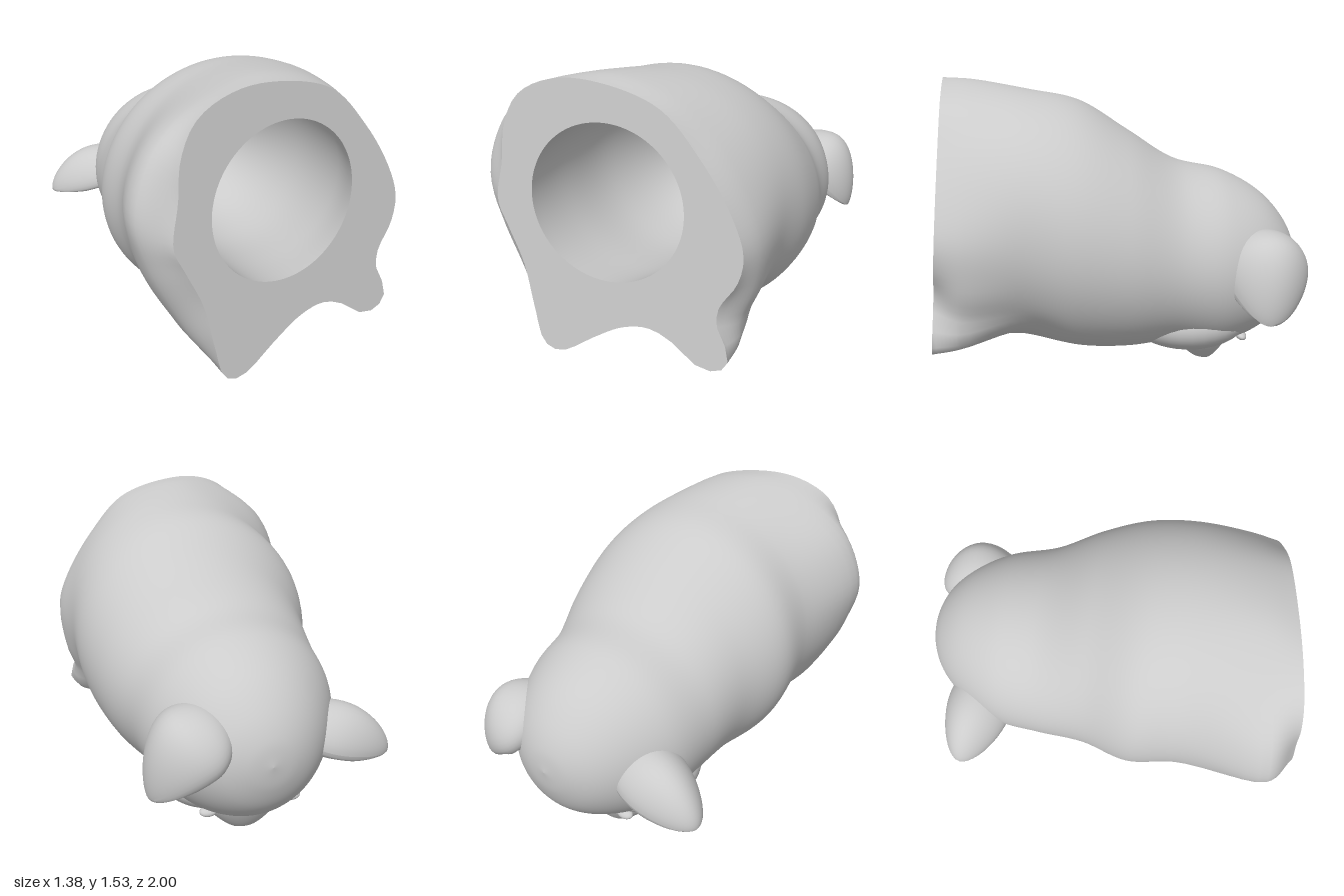
import * as THREE from 'three';

const SIDES = 96;
const V2 = (p) => new THREE.Vector2(p[0], p[1]);
// Tilted plane of the flat end
const planeZ = (x, y) => 0.97 - 0.13 * x - 0.08 * y;

// Outline of the flat end: hollow with two short legs below
const FACE = [[-0.1, 1.53], [-0.3, 1.5], [-0.43, 1.42], [-0.5, 1.28], [-0.52, 1.1], [-0.55, 0.9], [-0.5, 0.78],
  [-0.42, 0.6], [-0.37, 0.38], [-0.32, 0.2], [-0.25, 0.17], [-0.19, 0.19], [-0.05, 0.29], [0.1, 0.38], [0.23, 0.405],
  [0.35, 0.36], [0.45, 0.28], [0.53, 0.26], [0.61, 0.3], [0.61, 0.38], [0.56, 0.48], [0.56, 0.58], [0.64, 0.72],
  [0.66, 0.85], [0.6, 1.02], [0.45, 1.25], [0.25, 1.45]];
// Outline of the fuller rump just behind it
const RUMP = [[-0.05, 1.53], [-0.3, 1.48], [-0.5, 1.37], [-0.62, 1.23], [-0.69, 1], [-0.63, 0.75], [-0.51, 0.5],
  [-0.41, 0.32], [-0.31, 0.21], [-0.2, 0.23], [0, 0.29], [0.2, 0.33], [0.42, 0.29], [0.54, 0.28], [0.61, 0.35],
  [0.61, 0.46], [0.66, 0.62], [0.68, 0.85], [0.6, 1.08], [0.45, 1.3], [0.25, 1.46]];
// Oval sections towards the head: z, x min, x max, y min, y max
const OVALS = [[0.4, -0.6, 0.67, 0.19, 1.485], [0.15, -0.61, 0.68, 0.13, 1.43], [-0.1, -0.52, 0.64, 0.13, 1.28],
  [-0.35, -0.48, 0.56, 0.15, 1.12], [-0.6, -0.43, 0.51, 0.13, 1.06], [-0.8, -0.31, 0.41, 0.21, 0.95],
  [-0.92, -0.19, 0.3, 0.32, 0.82], [-0.98, -0.07, 0.18, 0.45, 0.7], [-1, 0.06, 0.06, 0.58, 0.58]];

const angle = (j) => (j / SIDES) * Math.PI * 2;

// Resample a smooth closed outline along evenly spaced rays from its middle
function rayRing(points, depth) {
  const smooth = new THREE.CatmullRomCurve3(points.map(([x, y]) => new THREE.Vector3(x, y, 0)), true).getPoints(300);
  const cx = 0.02, cy = 0.85, ring = [];
  for (let j = 0; j < SIDES; j++) {
    const dx = Math.cos(angle(j)), dy = Math.sin(angle(j));
    let r = 0;
    for (let k = 0; k < 300; k++) {
      const a = smooth[k], b = smooth[k + 1];
      const ca = dx * (a.y - cy) - dy * (a.x - cx), cb = dx * (b.y - cy) - dy * (b.x - cx);
      if (ca > 0 === cb > 0) continue;
      const t = ca / (ca - cb);
      r = Math.max(r, dx * (a.x + (b.x - a.x) * t - cx) + dy * (a.y + (b.y - a.y) * t - cy));
    }
    const x = cx + dx * r, y = cy + dy * r;
    ring.push(new THREE.Vector3(x, y, planeZ(x, y) - depth));
  }
  return ring;
}

function ovalRing(cx, cy, a, b, zAt) {
  return Array.from({ length: SIDES }, (_, j) => {
    const x = cx + a * Math.cos(angle(j)), y = cy + b * Math.sin(angle(j));
    return new THREE.Vector3(x, y, zAt(x, y));
  });
}

// Smooth skin through a list of rings
function loft(rings, steps) {
  const pos = [], index = [];
  const curves = rings[0].map((_, j) => new THREE.CatmullRomCurve3(rings.map((r) => r[j])));
  for (let i = 0; i <= steps; i++) {
    for (const c of curves) pos.push(...c.getPoint(i / steps).toArray());
  }
  for (let i = 0; i < steps; i++) {
    for (let j = 0; j < SIDES; j++) {
      const k = (j + 1) % SIDES, a = i * SIDES, b = a + SIDES;
      index.push(a + j, b + j, a + k, a + k, b + j, b + k);
    }
  }
  const g = new THREE.BufferGeometry();
  g.setAttribute('position', new THREE.Float32BufferAttribute(pos, 3));
  g.setIndex(index);
  g.computeVertexNormals();
  return g;
}

// Cupped, drooping ear: a sphere hollowed on its underside, broad at the root
function earGeometry(width, length, thick, droop) {
  const g = new THREE.SphereGeometry(1, 40, 28);
  const p = g.attributes.position;
  for (let i = 0; i < p.count; i++) {
    const x = p.getX(i), y = p.getY(i);
    let z = p.getZ(i);
    if (z > 0) z -= 1.35 * Math.max(0, 1 - 1.15 * (x * x + (y - 0.1) ** 2));
    const taper = 1.1 - 0.3 * y;
    p.setXYZ(i, x * width * taper, y * length, z * thick + droop * Math.max(0, y + 0.2) ** 2 + 0.06 * x * x);
  }
  g.computeVertexNormals();
  return g;
}

export function createModel() {
  const group = new THREE.Group();
  const material = new THREE.MeshStandardMaterial({ color: 0xcccccc });
  const inner = new THREE.MeshStandardMaterial({ color: 0xcccccc, side: THREE.DoubleSide });
  const add = (name, geometry, mat = material) => {
    const mesh = new THREE.Mesh(geometry, mat);
    mesh.name = name;
    group.add(mesh);
    return mesh;
  };
  const blob = (name, [x, y, z], [a, b, c], tilt = 0) => {
    const m = add(name, new THREE.SphereGeometry(1, 32, 24));
    m.position.set(x, y, z);
    m.scale.set(a, b, c);
    m.rotation.x = tilt;
  };

  // Body and head in one skin
  const faceRing = rayRing(FACE, 0);
  const ovals = OVALS.map(([z, l, r, b, t]) => ovalRing((l + r) / 2, (b + t) / 2, (r - l) / 2, (t - b) / 2, () => z));
  add('body', loft([faceRing, rayRing(RUMP, 0.14), ...ovals], 70));

  // Flat end with a round opening
  const hole = ovalRing(0.01, 0.975, 0.375, 0.375, planeZ);
  const shape = new THREE.Shape(faceRing.map((p) => V2([p.x, p.y])));
  shape.holes.push(new THREE.Path(hole.map((p) => V2([p.x, p.y])).reverse()));
  const cap = new THREE.ShapeGeometry(shape);
  const cp = cap.attributes.position;
  for (let i = 0; i < cp.count; i++) cp.setZ(i, planeZ(cp.getX(i), cp.getY(i)));
  cap.computeVertexNormals();
  add('flatEnd', cap, inner);

  // Hollow inside: z, centre height, radius
  const cavity = [[0.65, 0.96, 0.41], [0.3, 0.92, 0.42], [0, 0.87, 0.35], [-0.25, 0.84, 0.22], [-0.35, 0.84, 0.1], [-0.38, 0.84, 0]];
  add('cavity', loft([hole, ...cavity.map(([z, y, r]) => ovalRing(0.02, y, r, r, () => z))], 36), inner);

  // Snout, turned downwards, blending back into a sloping chin
  blob('chin', [0.02, 0.2, -0.4], [0.3, 0.11, 0.28], -0.12);
  const snout = new THREE.SphereGeometry(1, 40, 28);
  const sp = snout.attributes.position;
  for (let i = 0; i < sp.count; i++) {
    const x = sp.getX(i), y = sp.getY(i), z = sp.getZ(i);
    const flare = 1 + 0.5 * (y + 1) ** 1.5;
    sp.setXYZ(i, x * 0.14 * flare, Math.max(y, -0.85) * 0.16, z * flare * (z > 0 ? 0.13 : 0.085));
  }
  snout.computeVertexNormals();
  add('snout', snout).position.set(0.01, 0.137, -0.54);
  for (const s of [-1, 1]) {
    blob('cheek', [0.03 + s * 0.18, 0.31, -0.42], [0.24, 0.165, 0.32]);
    blob('eye', [0.04 + s * 0.22, 0.215, -0.7], [0.045, 0.022, 0.03], -0.4);
  }

  // Ears: centre, direction to the tip, half sizes
  const ears = [
    ['leftEar', [0.43, 0.66, -0.79], [0.9, -0.35, -0.08], [0.2, 0.23, 0.16, 0.13]],
    ['rightEar', [-0.42, 0.57, -0.72], [-0.9, -0.2, -0.25], [0.16, 0.27, 0.12, 0.06]],
  ];
  for (const [name, at, dir, size] of ears) {
    const y = new THREE.Vector3(...dir).normalize();
    const z = new THREE.Vector3(0, -1, 0.1).addScaledVector(y, -y.dot(new THREE.Vector3(0, -1, 0.1))).normalize();
    const x = new THREE.Vector3().crossVectors(y, z);
    const ear = add(name, earGeometry(...size), inner);
    ear.quaternion.setFromRotationMatrix(new THREE.Matrix4().makeBasis(x, y, z));
    ear.position.set(...at);
  }
  return group;
}
